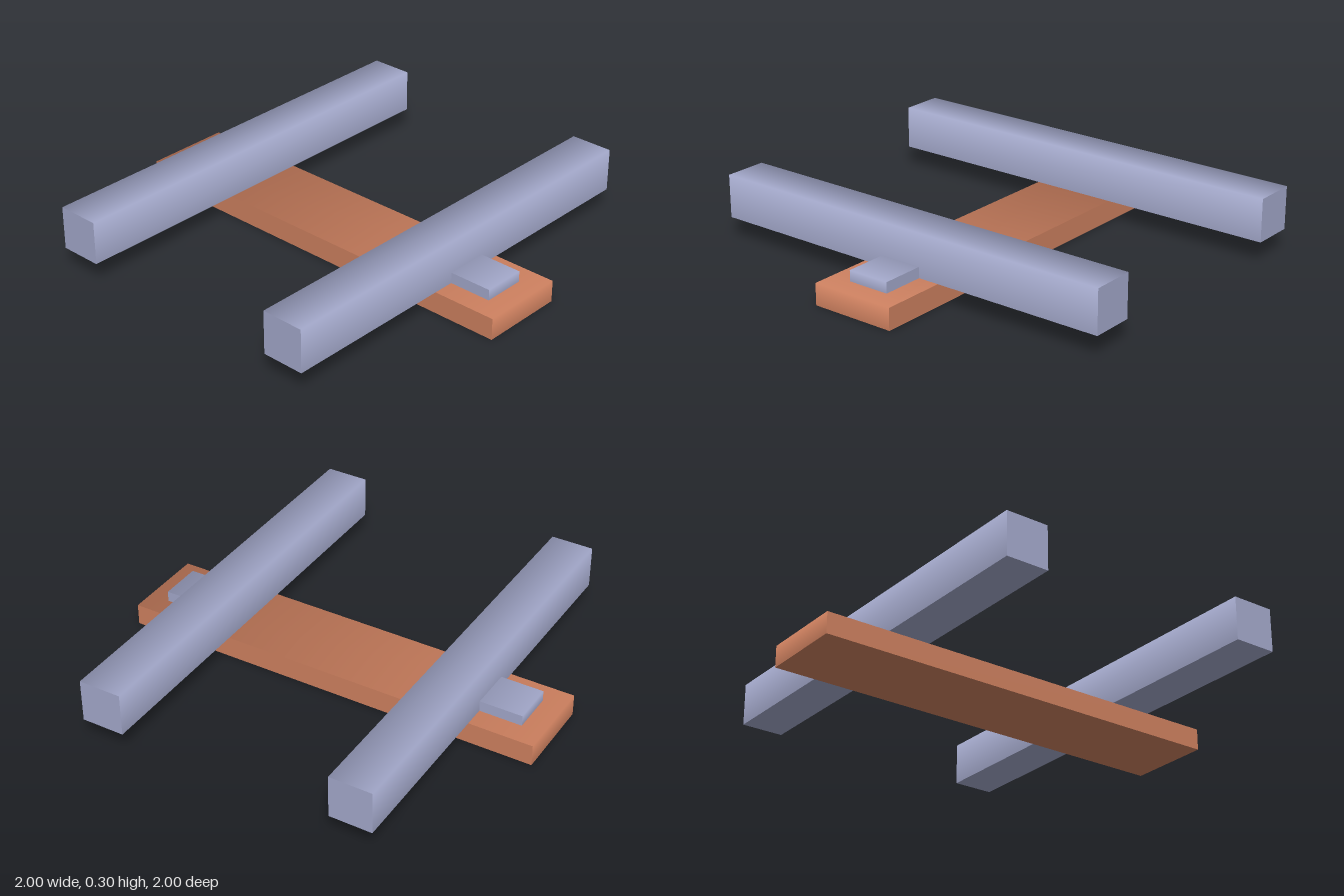
import * as THREE from 'three';

// Box whose top blends smoothly into its two x sides; all other edges stay sharp.
function softTopBox(w, h, d) {
  const geo = new THREE.BoxGeometry(w, h, d);
  const pos = geo.attributes.position;
  const nor = geo.attributes.normal;
  const s = Math.SQRT1_2;
  for (let i = 0; i < pos.count; i++) {
    const onEndOrBottom = Math.abs(nor.getZ(i)) > 0.5 || nor.getY(i) < -0.5;
    if (!onEndOrBottom && pos.getY(i) > 0) nor.setXYZ(i, Math.sign(pos.getX(i)) * s, s, 0);
  }
  return geo;
}

export function createModel() {
  const group = new THREE.Group();
  const brown = new THREE.MeshStandardMaterial({ color: 0xcc7f5e });
  brown.name = 'terracotta brown';
  const blue = new THREE.MeshStandardMaterial({ color: 0xa2a7c9 });
  blue.name = 'blue grey';

  const add = (name, material, [w, h, d], [x, y, z]) => {
    const mesh = new THREE.Mesh(softTopBox(w, h, d), material);
    mesh.name = name;
    mesh.position.set(x, y, z);
    group.add(mesh);
  };

  // Cross plank on the ground
  add('crossPlank', brown, [2, 0.1, 0.4], [0, 0.05, 0]);

  // Mirrored long rails, each with a low pad projecting outward
  for (const [side, label] of [[1, 'left'], [-1, 'right']]) {
    add(label + 'Rail', blue, [0.2, 0.2, 2], [side * 0.6, 0.2, 0]);
    add(label + 'Pad', blue, [0.38, 0.05, 0.2], [side * 0.71, 0.125, 0]);
  }
  return group;
}
